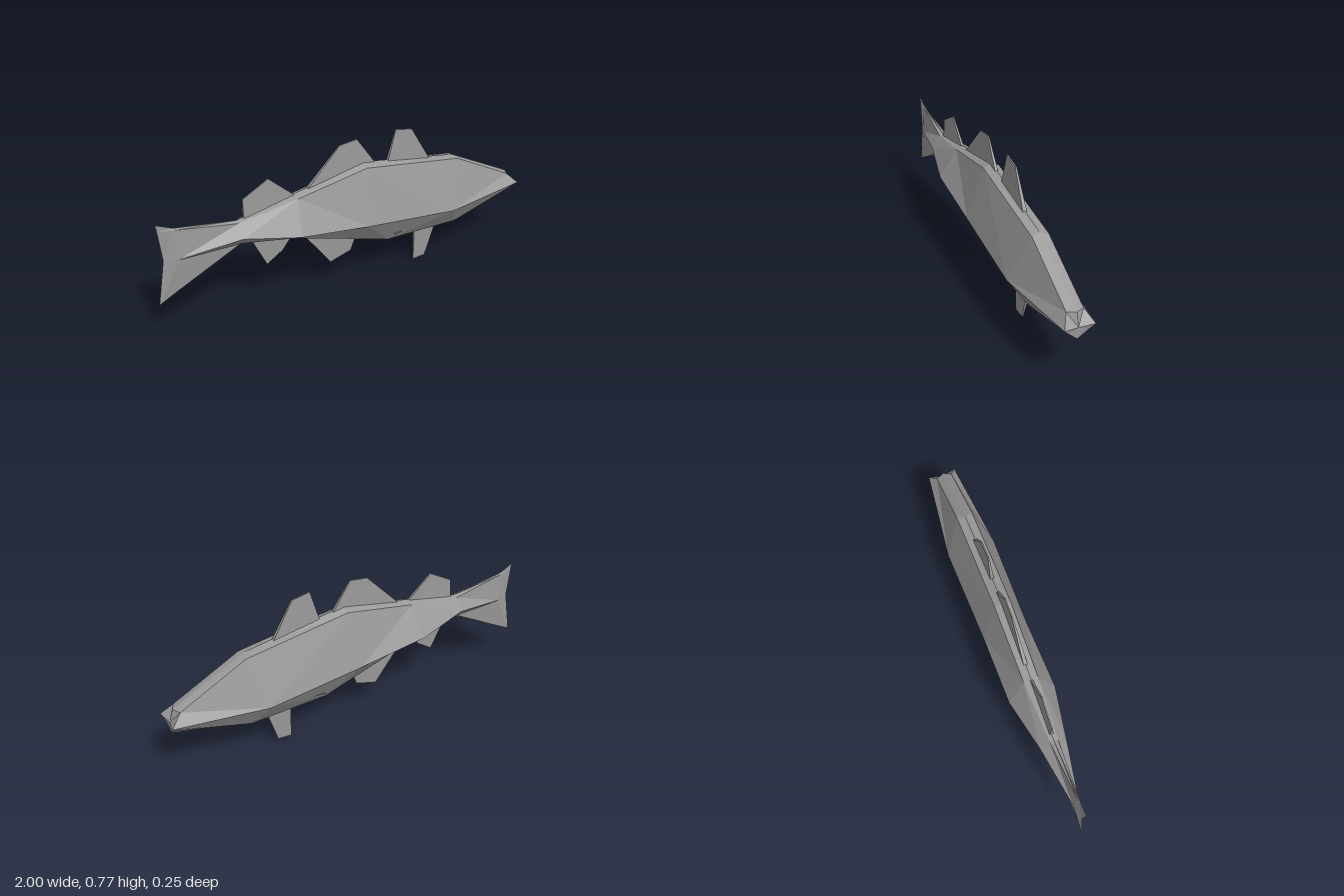
import * as THREE from 'three';

const material = new THREE.MeshStandardMaterial({ color: 0x999999, flatShading: true, side: THREE.DoubleSide });

// Lengthwise rails of one flank, tail to snout, from the back ridge down to the keel
const rails = [
  [[-0.98, 0.575, 0], [-0.9, 0.54, 0], [-0.6, 0.498, 0], [-0.3, 0.56, 0], [0.07, 0.637, 0], [0.6, 0.557, 0], [0.965, 0.383, 0]],
  [[-0.975, 0.54, 0], [-0.9, 0.53, 0.004], [-0.6, 0.49, 0.02], [-0.3, 0.546, 0.036], [0.07, 0.618, 0.04], [0.61, 0.547, 0.04], [0.945, 0.382, 0.04]],
  [[-0.96, 0.39, 0], [-0.89, 0.386, 0.016], [-0.6, 0.43, 0.066], [-0.33, 0.388, 0.118], [0.04, 0.342, 0.115], [0.54, 0.302, 0.125], [1, 0.33, 0.072]],
  [[-0.962, 0.38, 0], [-0.89, 0.382, 0.015], [-0.6, 0.39, 0.03], [-0.33, 0.347, 0.04], [0.2, 0.187, 0.035], [0.61, 0.19, 0.045], [0.988, 0.3, 0.045]],
  [[-1, 0.168, 0], [-0.92, 0.209, 0], [-0.6, 0.373, 0], [-0.33, 0.335, 0], [0.19, 0.17, 0], [0.61, 0.166, 0], [0.98, 0.258, 0]],
];
const noseTip = [0.985, 0.32, 0];

function makeBody() {
  const pos = [];
  for (const side of [1, -1]) {
    const tri = (a, b, c) => {
      for (const p of side > 0 ? [a, b, c] : [a, c, b]) pos.push(p[0], p[1], p[2] * side);
    };
    for (let j = 0; j < rails.length - 1; j++) {
      const last = rails[j].length - 1;
      for (let i = 0; i < last; i++) {
        const a = rails[j][i], b = rails[j][i + 1];
        const c = rails[j + 1][i + 1], d = rails[j + 1][i];
        // the upper flank folds the other way amidships
        if (j === 1 && (i === 3 || i === 4)) { tri(a, d, c); tri(a, c, b); }
        else { tri(a, d, b); tri(d, c, b); }
      }
      // snout and mouth
      tri(noseTip, rails[j][last], rails[j + 1][last]);
    }
  }
  const geo = new THREE.BufferGeometry();
  geo.setAttribute('position', new THREE.Float32BufferAttribute(pos, 3));
  geo.computeVertexNormals();
  return geo;
}

// Thin fin plate, tapering in thickness from its root to its tip
function makeFin(outline, rootY, tipY) {
  const shape = new THREE.Shape(outline.map(([x, y]) => new THREE.Vector2(x, y)));
  const geo = new THREE.ExtrudeGeometry(shape, { depth: 1, bevelEnabled: false });
  const p = geo.attributes.position;
  for (let i = 0; i < p.count; i++) {
    const t = THREE.MathUtils.clamp((p.getY(i) - rootY) / (tipY - rootY), 0, 1);
    p.setZ(i, (p.getZ(i) - 0.5) * THREE.MathUtils.lerp(0.02, 0.006, t));
  }
  geo.computeVertexNormals();
  return geo;
}

// Outlines run root, tip, tip, root; roots are sunk into the body
const fins = {
  frontDorsalFin: [[0.2, 0.58], [0.253, 0.766], [0.347, 0.75], [0.462, 0.56]],
  middleDorsalFin: [[-0.25, 0.555], [-0.06, 0.75], [0.035, 0.762], [0.143, 0.61]],
  rearDorsalFin: [[-0.567, 0.49], [-0.567, 0.595], [-0.435, 0.668], [-0.3, 0.55]],
  analFin: [[-0.54, 0.385], [-0.46, 0.223], [-0.375, 0.28], [-0.32, 0.355]],
  ventralFin: [[-0.27, 0.335], [-0.115, 0.132], [0, 0.168], [0.03, 0.25]],
  pelvicFin: [[0.38, 0.2], [0.383, 0], [0.455, 0.006], [0.515, 0.2]],
};

export function createModel() {
  const group = new THREE.Group();
  group.name = 'fish';

  const add = (name, geometry) => {
    const mesh = new THREE.Mesh(geometry, material);
    mesh.name = name;
    group.add(mesh);
    return mesh;
  };

  add('bodyAndTail', makeBody());
  for (const [name, outline] of Object.entries(fins)) {
    add(name, makeFin(outline, outline[0][1], outline[1][1]));
  }

  // Narrow pectoral fins lying against the lower flanks
  for (const side of [1, -1]) {
    const fin = add(side > 0 ? 'rightPectoralFin' : 'leftPectoralFin', new THREE.BoxGeometry(0.06, 0.004, 0.02));
    fin.position.set(0.25, 0.23, side * 0.058);
    fin.rotation.z = 0.15;
  }
  return group;
}
